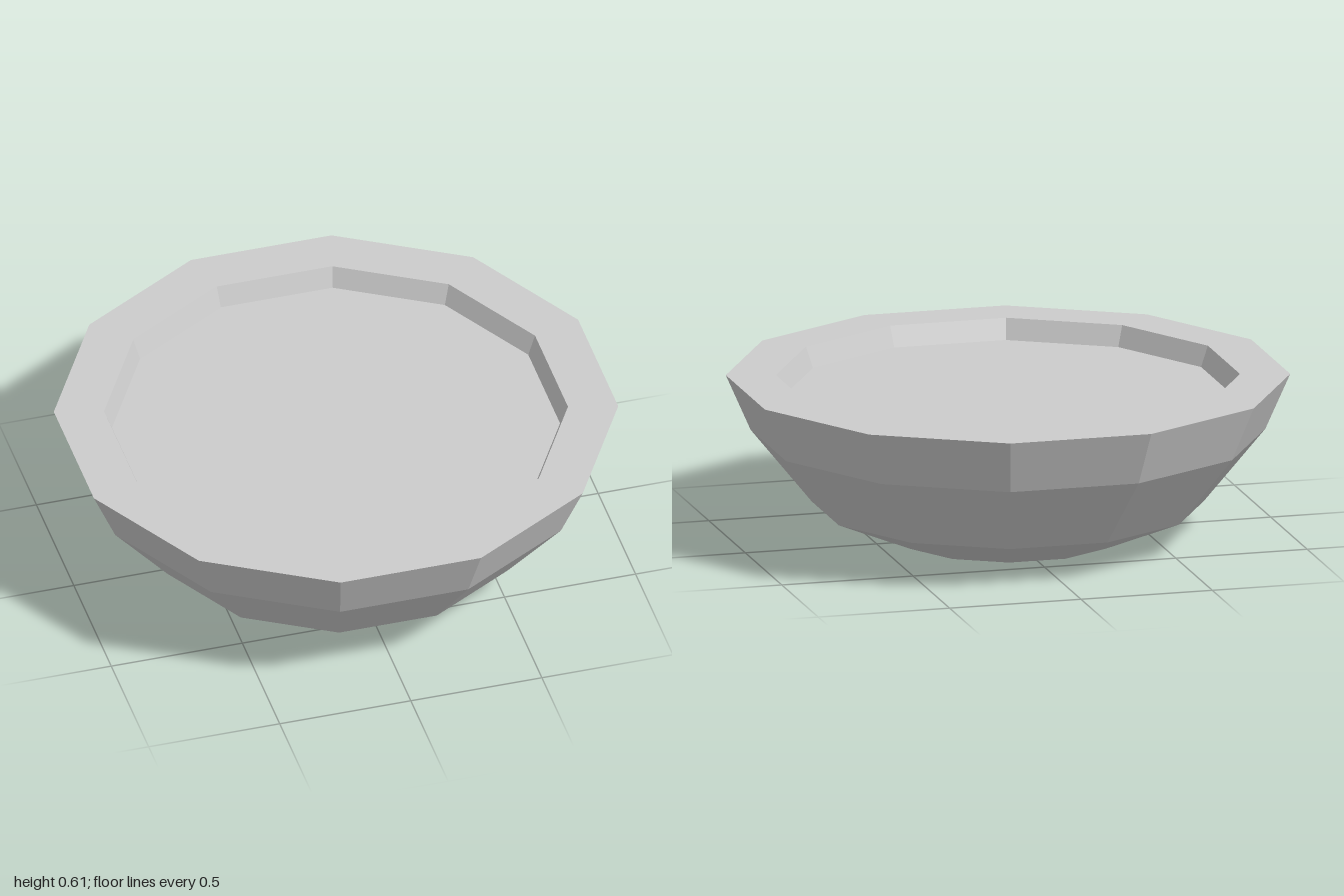
import * as THREE from 'three';

const SIDES = 12;
const STEP = (Math.PI * 2) / SIDES;
const toCorner = 1 / Math.cos(STEP / 2); // flat-to-centre distance -> corner radius

// Faceted 12-sided shell from [distance to flat, height] pairs
function facetedShell(name, profile, material) {
  const points = profile.map(([r, y]) => new THREE.Vector2(r * toCorner, y));
  const geometry = new THREE.LatheGeometry(points, SIDES, STEP / 2).toNonIndexed();
  geometry.computeVertexNormals();
  const mesh = new THREE.Mesh(geometry, material);
  mesh.name = name;
  return mesh;
}

// Horizontal 12-sided disc, facing up or down
function disc(name, radius, y, facing, material) {
  const geometry = new THREE.CircleGeometry(radius * toCorner, SIDES, STEP / 2);
  geometry.rotateX(-facing * Math.PI / 2);
  const mesh = new THREE.Mesh(geometry, material);
  mesh.name = name;
  mesh.position.y = y;
  return mesh;
}

export function createModel() {
  const material = new THREE.MeshStandardMaterial({ color: 0xcccccc, flatShading: true });
  const bowl = new THREE.Group();
  bowl.name = 'bowl';

  // Outer wall in three bands, flat rim, short inner wall
  bowl.add(facetedShell('bowlWall', [
    [0.4, 0], [0.695, 0.128], [0.912, 0.4], [1, 0.607],
    [0.822, 0.607], [0.794, 0.53],
  ], material));

  // Shallow inner floor and the foot underneath
  bowl.add(disc('innerFloor', 0.794, 0.53, 1, material));
  bowl.add(disc('base', 0.4, 0, -1, material));

  return bowl;
}
